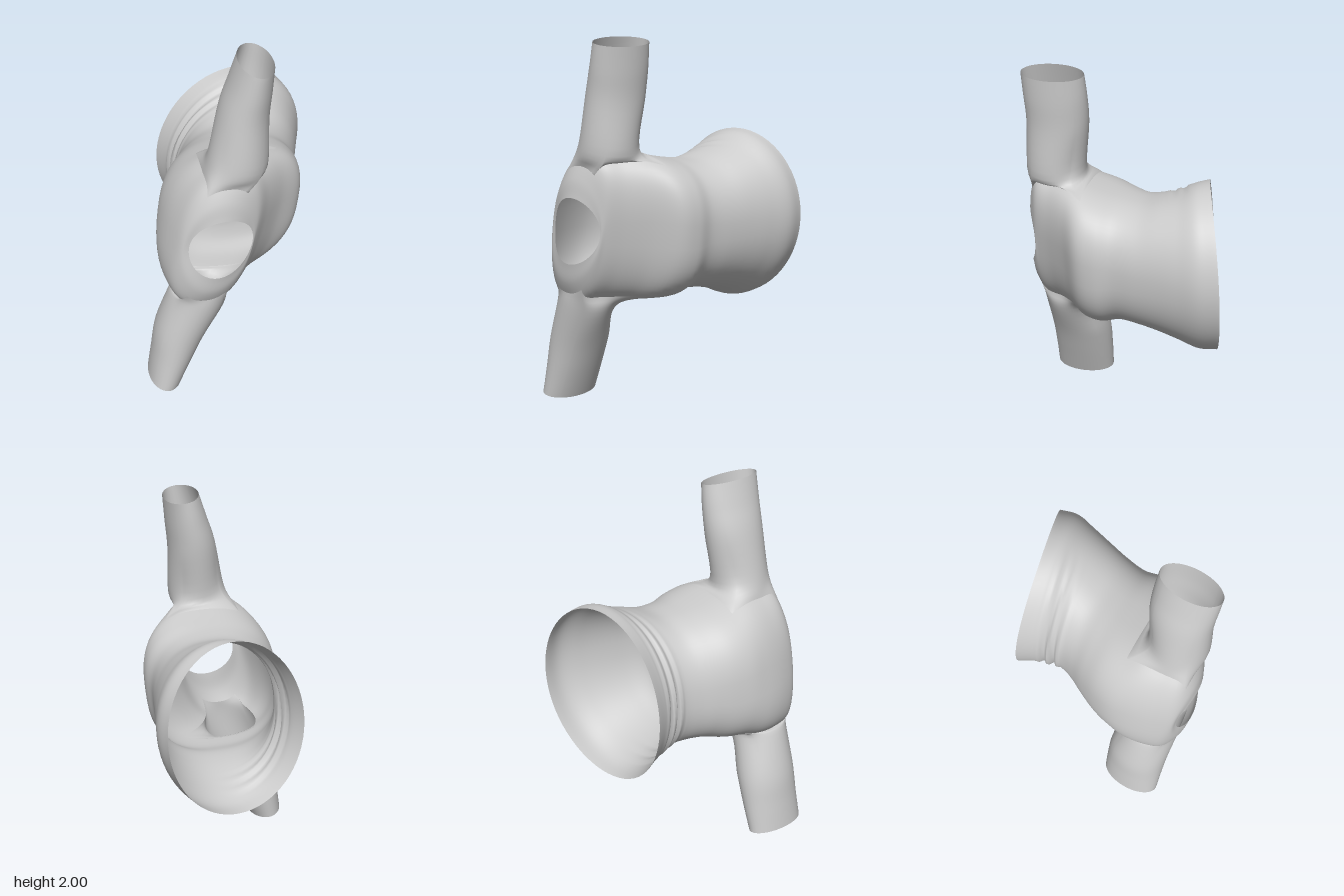
import * as THREE from 'three';

const AROUND = 64, STEP = 6;
const material = new THREE.MeshStandardMaterial({ color: 0xcccccc, side: THREE.DoubleSide });

// Smooth sheet from closed rows of points; skip(i, j) leaves a hole.
function sheet(name, rows, skip = () => false) {
  const n = rows[0].length, index = [];
  for (let i = 0; i < rows.length - 1; i++) {
    for (let j = 0; j < n; j++) {
      if (skip(i, j)) continue;
      const a = i * n + j, b = i * n + (j + 1) % n;
      index.push(a, b, b + n, a, b + n, a + n);
    }
  }
  const geometry = new THREE.BufferGeometry().setFromPoints(rows.flat());
  geometry.setIndex(index);
  geometry.computeVertexNormals();
  const mesh = new THREE.Mesh(geometry, material);
  mesh.name = name;
  return mesh;
}

// Smooth rows in between a few key rings.
function loft(rings, steps) {
  const curves = rings[0].map((_, j) => new THREE.CatmullRomCurve3(rings.map(r => r[j]), false, 'catmullrom', 0.5));
  const count = (rings.length - 1) * steps;
  return Array.from({ length: count + 1 }, (_, i) => curves.map(c => c.getPoint(i / count)));
}

// Torso rings from waist to neck:
// z, cx, cy, half width, half height, z slope in x, z slope in y, saddle, lean, squareness
const torsoKeys = [
  [-0.49, 0.05, 0.98, 0.392, 0.477, -0.25, 0.06, 0.02, 0.09, 2],
  [-0.40, 0.085, 0.98, 0.383, 0.465, -0.22, 0.04, 0.01, 0.09, 2],
  [-0.30, 0.09, 0.98, 0.355, 0.42, -0.18, 0.02, 0, 0.09, 2.1],
  [-0.20, 0.08, 0.98, 0.337, 0.385, -0.12, 0, 0, 0.09, 2.2],
  [-0.10, 0.055, 0.975, 0.337, 0.36, -0.06, 0, 0, 0.09, 2.3],
  [0.00, 0.025, 0.98, 0.347, 0.36, 0, 0, 0, 0.09, 2.4],
  [0.10, 0.01, 0.98, 0.372, 0.38, 0, 0, 0, 0.09, 2.6],
  [0.20, -0.015, 0.99, 0.367, 0.395, 0, 0, 0, 0.13, 2.6],
  [0.30, -0.068, 1.0, 0.308, 0.41, 0, 0, 0, 0.19, 2.6],
  [0.40, -0.10, 1.0, 0.255, 0.41, 0, 0, 0, 0.21, 2.5],
  [0.485, -0.108, 1.0, 0.212, 0.395, -0.03, 0, 0.02, 0.2, 2.4],
  [0.522, -0.10, 1.0, 0.188, 0.29, -0.09, 0, 0.04, 0.15, 2.1],
  [0.53, -0.085, 1.005, 0.165, 0.178, -0.12, 0, 0.05, 0.1, 2],
];

// Sleeve rings from armhole to cuff: cx, cy, cz, half width, half depth
const upperKeys = [
  [0.015, 1.44, 0.395, 0.15, 0.16],
  [0.045, 1.70, 0.375, 0.125, 0.167],
  [0.075, 1.85, 0.375, 0.107, 0.17],
  [0.10, 1.98, 0.38, 0.09, 0.168],
];
const lowerKeys = [
  [-0.2, 0.57, 0.385, 0.15, 0.16],
  [-0.29, 0.35, 0.37, 0.135, 0.17],
  [-0.34, 0.18, 0.37, 0.113, 0.17],
  [-0.385, 0.02, 0.375, 0.092, 0.168],
];

export function createModel() {
  const group = new THREE.Group();
  group.name = 'garment';

  const torsoRings = torsoKeys.map(([z, cx, cy, a, b, kx, ky, saddle, lean, power]) =>
    Array.from({ length: AROUND }, (_, j) => {
      const t = j / AROUND * Math.PI * 2;
      const [c, s] = [Math.cos(t), Math.sin(t)].map(v => Math.sign(v) * Math.abs(v) ** (2 / power));
      const dx = a * c + lean * b * s, dy = b * s;
      return new THREE.Vector3(cx + dx, cy + dy, z + kx * dx + ky * dy + saddle * s * s);
    }));
  const torso = loft(torsoRings, STEP);

  // Gathered folds above the hem, on the -x side
  for (let i = STEP; i <= 3 * STEP; i++) {
    const fade = Math.sin((i - STEP) / (2 * STEP) * Math.PI);
    torso[i].forEach((p, j) => {
      const t = j / AROUND * Math.PI * 2;
      const fold = 0.014 * fade * Math.max(0, -Math.cos(t) + 0.1) * Math.cos(i * Math.PI / 2 + Math.sin(2 * t));
      p.x += fold * Math.cos(t);
      p.y += fold * Math.sin(t);
    });
  }

  // Armholes: blocks of the torso grid centred on its upper and lower edges
  const i0 = 7 * STEP, i1 = 10 * STEP + 3, half = 5;
  const inHole = (i, j) => i >= i0 && i < i1 &&
    [AROUND / 4, AROUND * 3 / 4].some(m => j >= m - half && j < m + half);
  group.add(sheet('torso', torso, inHole));

  // Sleeves grow from the armhole borders
  function sleeve(name, middle, keys, side) {
    const border = [];
    for (let j = -half; j < half; j++) border.push([i0, j]);
    for (let i = i0; i < i1; i++) border.push([i, half]);
    for (let j = half; j > -half; j--) border.push([i1, j]);
    for (let i = i1; i > i0; i--) border.push([i, -half]);
    const angles = border.map(([i, j]) => Math.atan2((2 * i - i0 - i1) / (i1 - i0), j / half));
    const rings = keys.map(([cx, cy, cz, rx, rz]) => angles.map(t => {
      const dx = -side * rx * Math.cos(t);
      return new THREE.Vector3(cx + dx, cy - 0.2 * dx, cz + rz * Math.sin(t));
    }));
    rings.unshift(border.map(([i, j]) => torso[i][middle + j].clone()));
    group.add(sheet(name, loft(rings, 5)));
  }
  sleeve('upperSleeve', AROUND / 4, upperKeys, 1);
  sleeve('lowerSleeve', AROUND * 3 / 4, lowerKeys, -1);
  return group;
}
